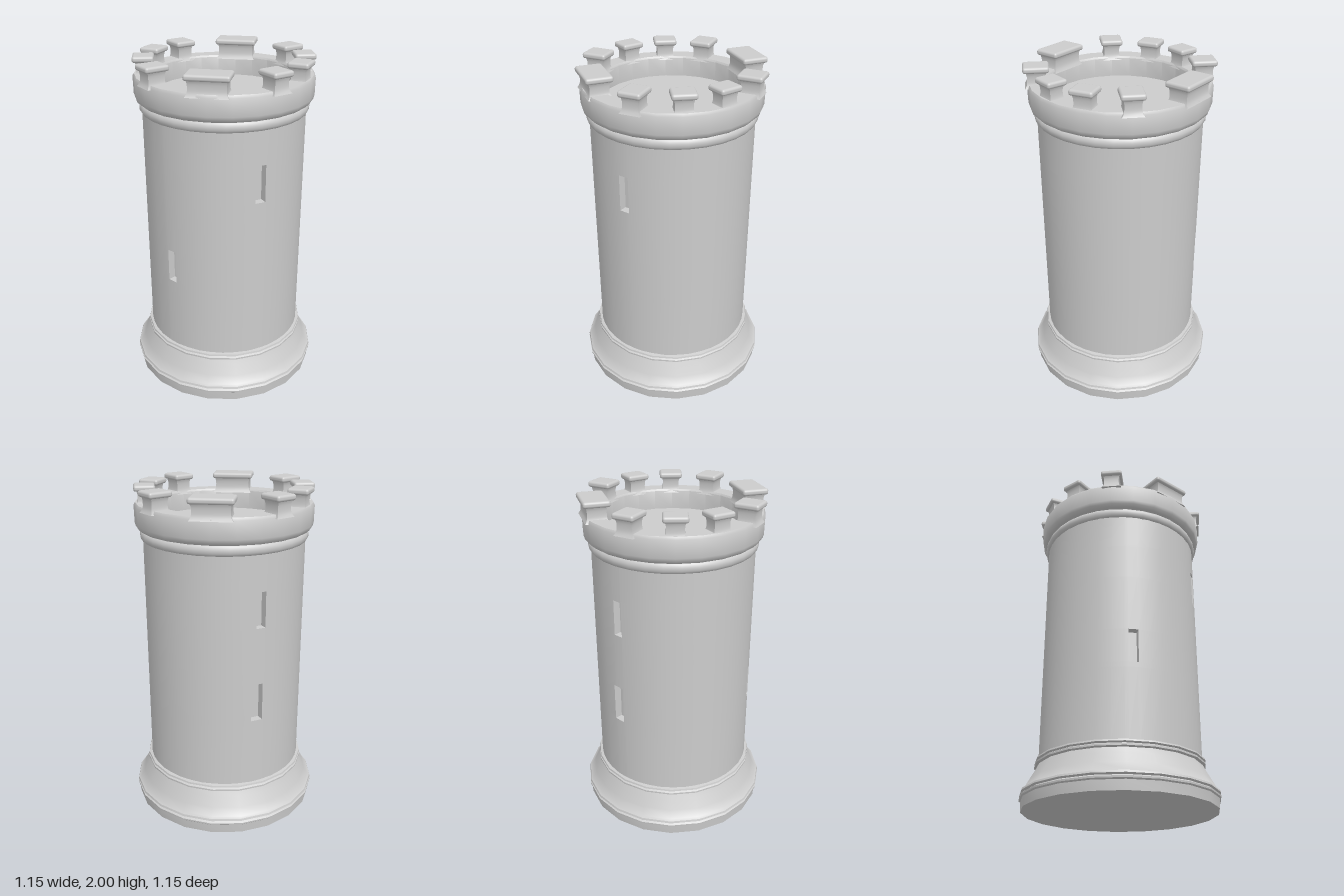
import * as THREE from 'three';
import { toCreasedNormals } from 'three/addons/utils/BufferGeometryUtils.js';
import { RoundedBoxGeometry } from 'three/addons/geometries/RoundedBoxGeometry.js';

const R = 0.475;        // wall radius
const RECESS = 0.045;   // depth of the arrow slits
const WALL_BOTTOM = 0.27, WALL_TOP = 1.72;
const rad = THREE.MathUtils.degToRad;

// Arrow slits: angle measured from the front towards +x, width, bottom, top
const slits = [
  { angle: 35, width: 0.06, y0: 1.27, y1: 1.49 },
  { angle: -30, width: 0.058, y0: 0.73, y1: 0.93 },
  { angle: 213, width: 0.056, y0: 1.27, y1: 1.48 },
  { angle: 211, width: 0.07, y0: 0.70, y1: 0.93 },
].map((s) => {
  const mid = rad((s.angle + 360) % 360), half = s.width / 2 / R;
  return { ...s, a0: mid - half, a1: mid + half };
});

const material = new THREE.MeshStandardMaterial({ color: 0xcccccc });

function addMesh(parent, name, geometry) {
  const mesh = new THREE.Mesh(geometry, material);
  mesh.name = name;
  parent.add(mesh);
  return mesh;
}

// Turned ring or disc from [radius, height] pairs running up the outside
function turned(profile, sides) {
  const points = profile.map(([r, y]) => new THREE.Vector2(r, y));
  return toCreasedNormals(new THREE.LatheGeometry(points, sides), 0.7);
}

// Round wall laid out as a grid of cells; cells inside a slit are set back
function wallGeometry() {
  const positions = [];
  const at = (r, a, y) => [r * Math.sin(a), y, r * Math.cos(a)];
  const quad = (a, b, c, d) => positions.push(...a, ...b, ...c, ...a, ...c, ...d);
  const sorted = (list) => [...new Set(list)].sort((a, b) => a - b);

  const angles = sorted([
    ...Array.from({ length: 41 }, (_, i) => (i / 40) * Math.PI * 2),
    ...slits.flatMap((s) => [s.a0, s.a1]),
  ]);
  const heights = sorted([WALL_BOTTOM, WALL_TOP, ...slits.flatMap((s) => [s.y0, s.y1])]);

  for (let i = 0; i < angles.length - 1; i++) {
    for (let j = 0; j < heights.length - 1; j++) {
      const a0 = angles[i], a1 = angles[i + 1], y0 = heights[j], y1 = heights[j + 1];
      const a = (a0 + a1) / 2, y = (y0 + y1) / 2;
      const s = slits.find((w) => a > w.a0 && a < w.a1 && y > w.y0 && y < w.y1);
      const r = s ? R - RECESS : R;
      quad(at(r, a0, y0), at(r, a1, y0), at(r, a1, y1), at(r, a0, y1));
      if (!s) continue;
      // Reveals on the slit's four edges
      if (a0 === s.a0) quad(at(R, a0, y0), at(r, a0, y0), at(r, a0, y1), at(R, a0, y1));
      if (a1 === s.a1) quad(at(r, a1, y0), at(R, a1, y0), at(R, a1, y1), at(r, a1, y1));
      if (y0 === s.y0) quad(at(R, a0, y0), at(R, a1, y0), at(r, a1, y0), at(r, a0, y0));
      if (y1 === s.y1) quad(at(r, a0, y1), at(r, a1, y1), at(R, a1, y1), at(R, a0, y1));
    }
  }
  const geometry = new THREE.BufferGeometry();
  geometry.setAttribute('position', new THREE.Float32BufferAttribute(positions, 3));
  return toCreasedNormals(geometry, 0.5);
}

// Merlon: waisted block carrying a wider rounded cap
function createMerlon(width, depth) {
  const merlon = new THREE.Group();
  const bottom = 1.88, top = 1.98;
  const stem = new THREE.BoxGeometry(width - 0.04, top - bottom, depth - 0.045, 1, 6, 1);
  const p = stem.attributes.position;
  for (let i = 0; i < p.count; i++) {
    const t = p.getY(i) / (top - bottom);             // -0.5 at the foot, 0.5 at the cap
    const flare = 0.014 * Math.pow(Math.abs(t) * 2, 3);
    p.setX(i, p.getX(i) + Math.sign(p.getX(i)) * flare);
    p.setZ(i, p.getZ(i) + Math.sign(p.getZ(i)) * flare);
  }
  addMesh(merlon, 'merlonStem', toCreasedNormals(stem, 0.7)).position.y = (bottom + top) / 2;
  addMesh(merlon, 'merlonCap', new RoundedBoxGeometry(width, 0.034, depth, 3, 0.014)).position.y = 1.983;
  return merlon;
}

export function createModel() {
  const tower = new THREE.Group();
  tower.name = 'tower';

  // Flared foot with two pairs of thin bands
  addMesh(tower, 'base', turned([
    [0, 0], [0.562, 0], [0.566, 0.055],
    [0.574, 0.062], [0.575, 0.072], [0.563, 0.08], [0.574, 0.088], [0.57, 0.1], [0.556, 0.108],
    [0.53, 0.155], [0.502, 0.205], [0.482, 0.245],
    [0.498, 0.25], [0.498, 0.26], [0.486, 0.267], [0.497, 0.274], [0.494, 0.284], [0.47, 0.29],
  ], 20));

  addMesh(tower, 'wall', wallGeometry());

  // Rounded moulding below the parapet
  addMesh(tower, 'moulding', turned([
    [0.468, 1.685], [0.482, 1.69], [0.491, 1.705], [0.492, 1.725], [0.485, 1.74], [0.472, 1.75], [0.472, 1.77],
  ], 32));

  // Parapet ring and the sunken roof floor
  addMesh(tower, 'parapet', turned([
    [0.46, 1.745], [0.495, 1.75], [0.512, 1.765], [0.518, 1.785], [0.52, 1.885], [0.511, 1.9],
    [0.418, 1.9], [0.41, 1.89], [0.41, 1.78], [0, 1.78],
  ], 24));

  // Merlons: broad ones front and back, narrow ones mirrored down both sides
  const merlons = new THREE.Group();
  merlons.name = 'merlons';
  tower.add(merlons);
  const place = (name, angle, radius, width, depth) => {
    const merlon = createMerlon(width, depth);
    const a = rad(angle);
    merlon.name = name;
    merlon.position.set(radius * Math.sin(a), 0, radius * Math.cos(a));
    merlon.rotation.y = a;
    merlons.add(merlon);
  };
  place('frontMerlon', 0, 0.448, 0.245, 0.152);
  place('backMerlon', 180, 0.455, 0.245, 0.152);
  for (const side of [1, -1]) {
    for (const angle of [45, 135]) place('cornerMerlon', side * angle, 0.466, 0.13, 0.145);
    for (const angle of [76, 105]) place('sideMerlon', side * angle, 0.456, 0.135, 0.122);
  }
  return tower;
}
